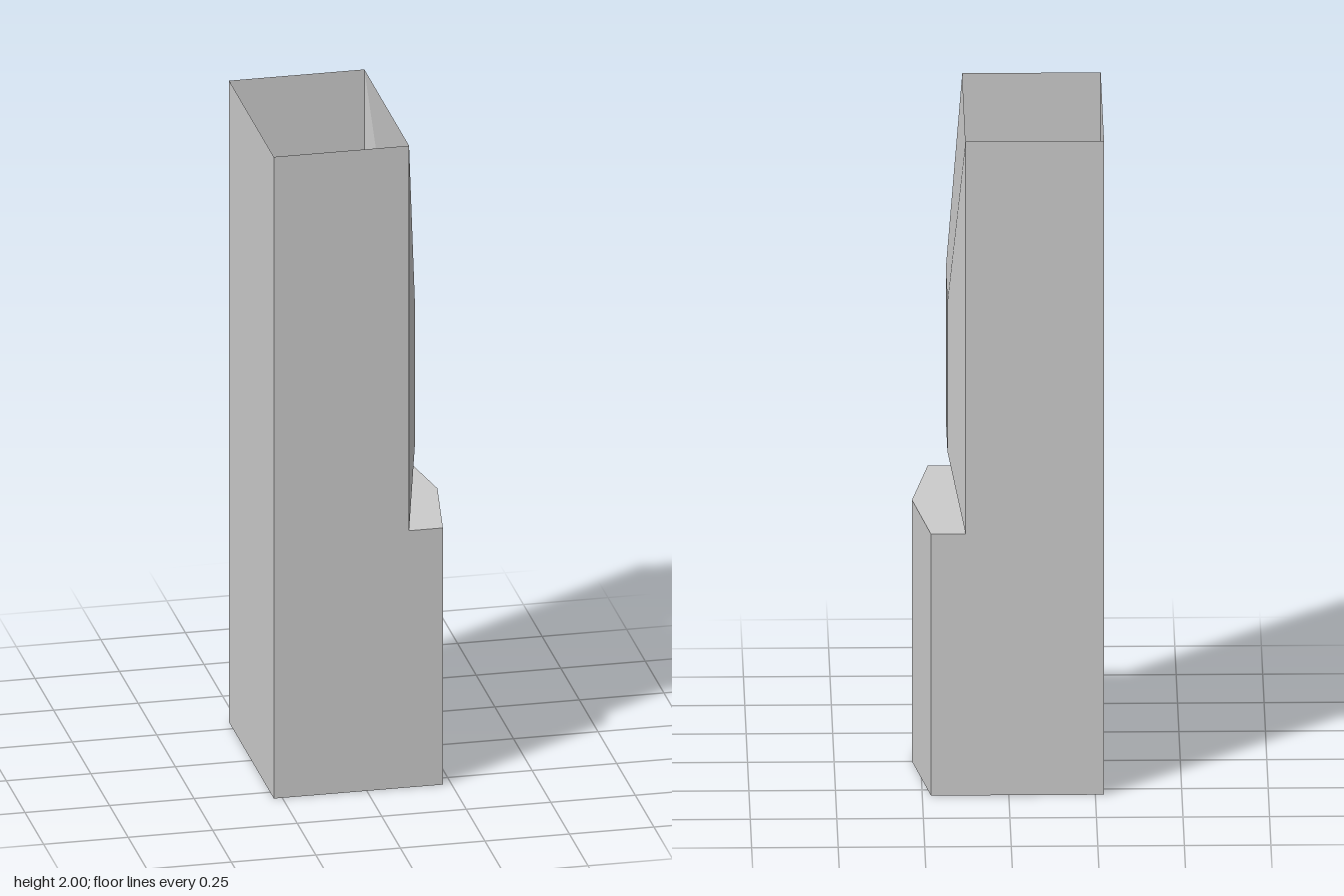
import * as THREE from 'three';

const material = new THREE.MeshStandardMaterial({ color: 0xcccccc, flatShading: true, side: THREE.DoubleSide });

// Sheet of flat convex faces; corners run counter-clockwise seen from outside
function sheet(name, faces) {
  const points = [];
  for (const f of faces)
    for (let i = 1; i < f.length - 1; i++) points.push(...f[0], ...f[i], ...f[i + 1]);
  const geometry = new THREE.BufferGeometry();
  geometry.setAttribute('position', new THREE.Float32BufferAttribute(points, 3));
  geometry.computeVertexNormals();
  const mesh = new THREE.Mesh(geometry, material);
  mesh.name = name;
  return mesh;
}

// Upright walls along an [x, z] path between two heights
function walls(name, path, y0, y1) {
  const faces = path.slice(1).map(([bx, bz], i) => {
    const [ax, az] = path[i];
    return [[ax, y0, az], [bx, y0, bz], [bx, y1, bz], [ax, y1, az]];
  });
  return sheet(name, faces);
}

export function createModel() {
  const group = new THREE.Group();
  group.name = 'openShaft';
  const back = -0.275, front = 0.125, edge = 0.225, nose = 0.275, w = 0.3;
  const step = 0.8, top = 2;

  // Wider base with a pointed face, closed underneath
  const outline = [[back, -w], [back, w], [edge, w], [nose, 0], [edge, -w]];
  group.add(walls('baseWalls', [...outline, outline[0]], 0, step));
  group.add(sheet('floor', [outline.map(([x, z]) => [x, 0, z]).reverse()]));

  // Ledge where the base steps out past the shaft
  const ledge = [[front, w], [edge, w], [nose, 0], [edge, -w], [front, -w]];
  group.add(sheet('ledge', [ledge.map(([x, z]) => [x, step, z])]));

  // Three plain walls of the shaft, open at the top
  group.add(walls('shaftWalls', [[front, -w], [back, -w], [back, w], [front, w]], step, top));

  // Bulging panel: four slopes from the shaft rim to an open window
  const rect = (x, y0, y1, z) => [[x, y0, z], [x, y0, -z], [x, y1, -z], [x, y1, z]];
  const rim = rect(front, step, top, w);
  const hole = rect(0.175, 1, 1.455, 0.15);
  group.add(sheet('windowPanel', rim.map((p, i) => {
    const j = (i + 1) % 4;
    return [p, rim[j], hole[j], hole[i]];
  })));

  return group;
}
